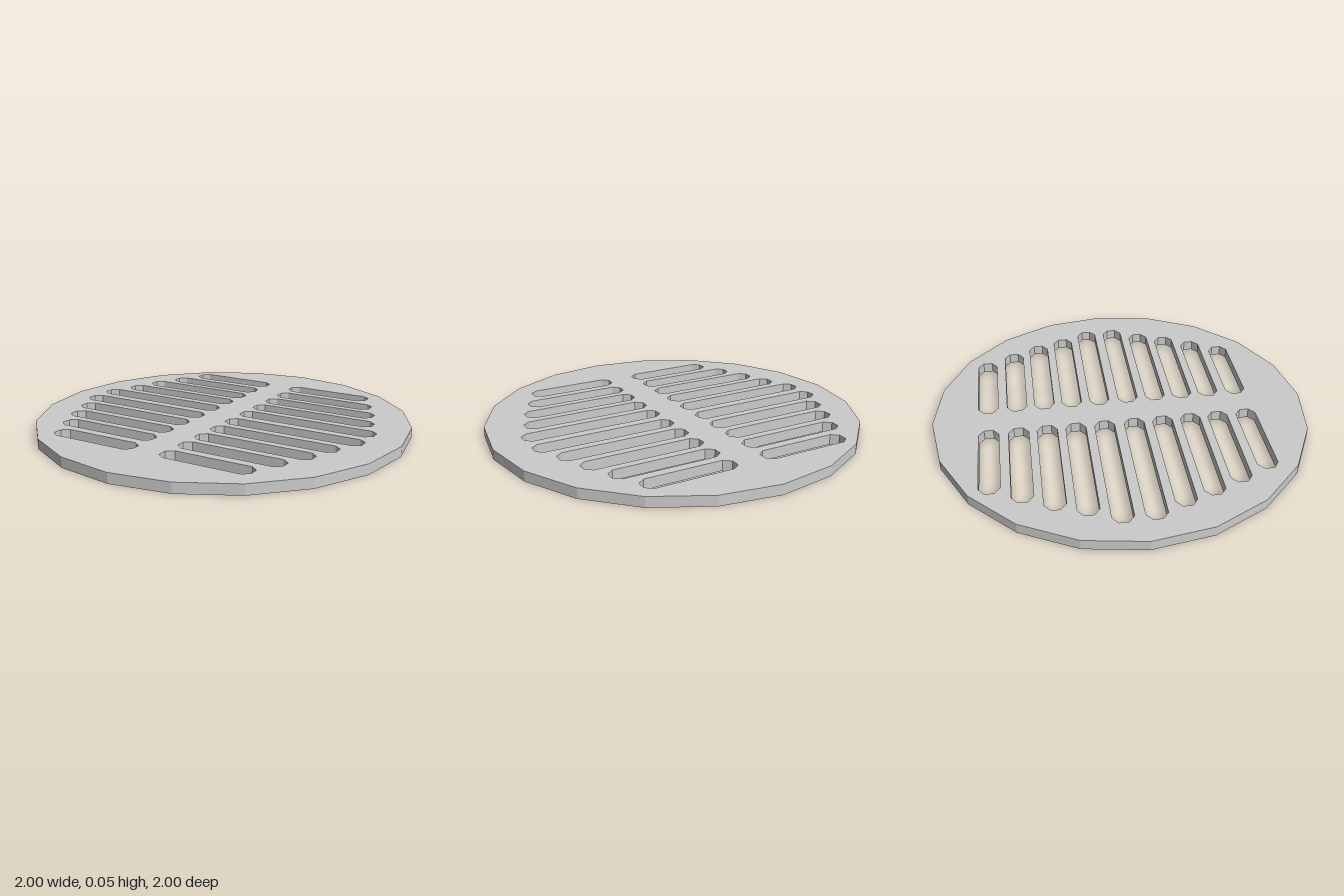
import * as THREE from 'three';

const THICKNESS = 0.054;
const SIDES = 20;
// The slot pattern sits slightly off the centre of the disc
const CENTRE = { x: -0.018, z: -0.021 };
const INNER_END = 0.078;
// Distance of each row from the pattern's centre, and the outer end of its slots
const ROWS = [
  { z: 0.079, end: 0.847 },
  { z: 0.231, end: 0.779 },
  { z: 0.381, end: 0.723 },
  { z: 0.53, end: 0.65 },
  { z: 0.685, end: 0.57 },
];

// Long slot with chamfered corners
function slot(x0, x1, z) {
  const h = 0.053, cx = 0.037, flat = 0.024;
  return new THREE.Path([
    [x0, z - flat], [x0, z + flat], [x0 + cx, z + h], [x1 - cx, z + h],
    [x1, z + flat], [x1, z - flat], [x1 - cx, z - h], [x0 + cx, z - h],
  ].map(([x, y]) => new THREE.Vector2(x, y)));
}

export function createModel() {
  const group = new THREE.Group();
  group.name = 'drainGrate';

  // Faceted disc outline
  const outline = [];
  for (let i = 0; i < SIDES; i++) {
    const a = (i / SIDES) * Math.PI * 2;
    outline.push(new THREE.Vector2(Math.cos(a), Math.sin(a)));
  }
  const shape = new THREE.Shape(outline);

  // Two columns of slots, mirrored front to back
  for (const { z, end } of ROWS) {
    for (const side of [-1, 1]) {
      const zc = CENTRE.z + side * z;
      shape.holes.push(slot(CENTRE.x + INNER_END, CENTRE.x + end, zc));
      shape.holes.push(slot(CENTRE.x - end, CENTRE.x - INNER_END, zc));
    }
  }

  // Lay the plate flat, with its underside on the ground
  const geometry = new THREE.ExtrudeGeometry(shape, { depth: THICKNESS, bevelEnabled: false });
  geometry.rotateX(Math.PI / 2);
  geometry.translate(0, THICKNESS, 0);

  const plate = new THREE.Mesh(
    geometry,
    new THREE.MeshStandardMaterial({ color: 0xcccccc, flatShading: true })
  );
  plate.name = 'slottedPlate';
  group.add(plate);
  return group;
}
